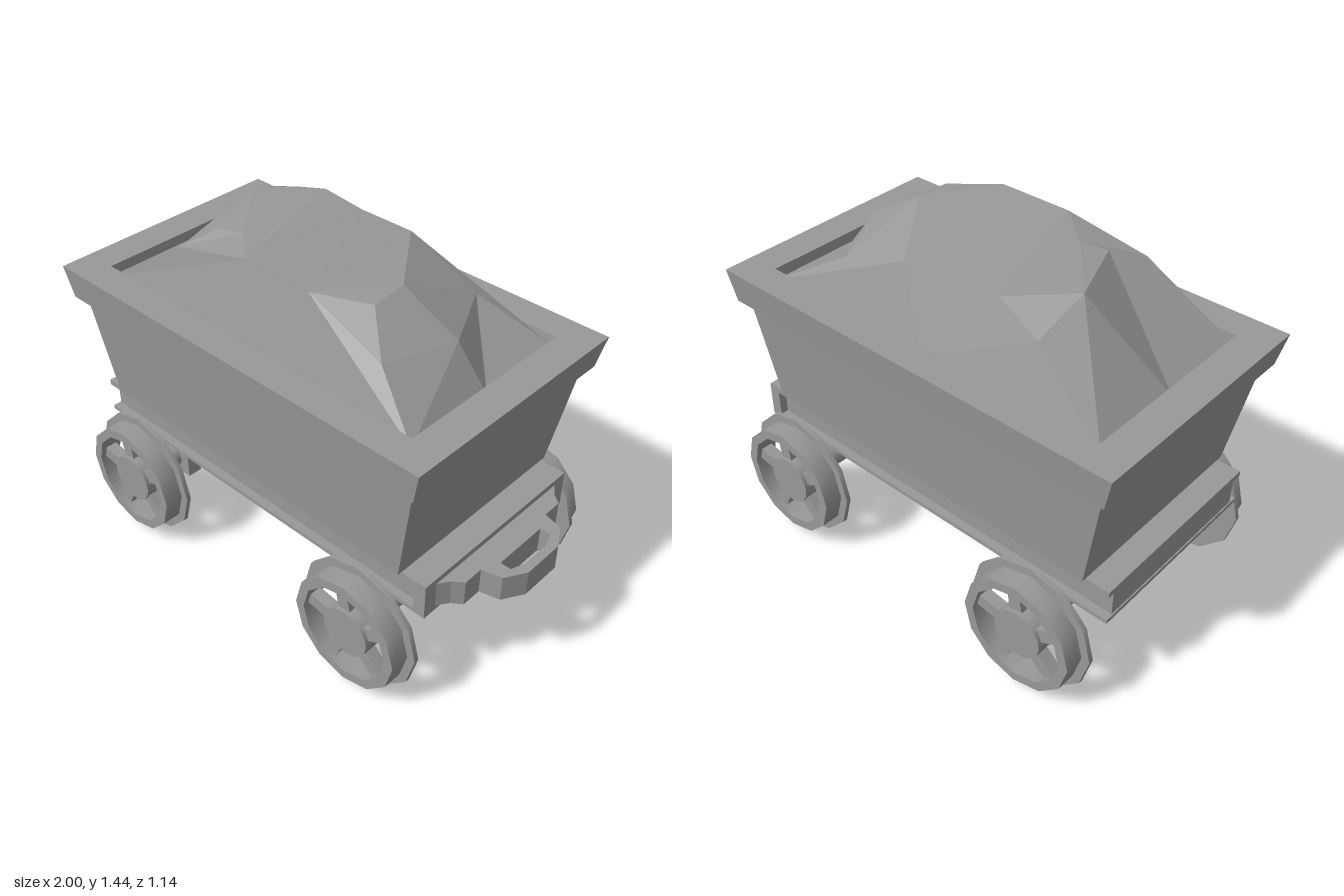
import * as THREE from 'three';
import { toCreasedNormals } from 'three/addons/utils/BufferGeometryUtils.js';

const grey = new THREE.MeshStandardMaterial({ color: 0x999999 });
grey.name = 'grey';

function add(parent, name, geometry, x = 0, y = 0, z = 0) {
  const mesh = new THREE.Mesh(geometry, grey);
  mesh.name = name;
  mesh.position.set(x, y, z);
  parent.add(mesh);
  return mesh;
}

// Box given by its lower and upper limits
function addBox(parent, name, x0, x1, y0, y1, z0, z1) {
  return add(parent, name, new THREE.BoxGeometry(x1 - x0, y1 - y0, z1 - z0),
    (x0 + x1) / 2, (y0 + y1) / 2, (z0 + z1) / 2);
}

// Faceted geometry from points and triangles
function faceted(points, triangles) {
  const geometry = new THREE.BufferGeometry();
  geometry.setAttribute('position', new THREE.Float32BufferAttribute(points.flat(), 3));
  geometry.setIndex(triangles.flat());
  const flat = geometry.toNonIndexed();
  flat.computeVertexNormals();
  return flat;
}

// Rectangular rings [y, halfX, halfZ] joined in order
function loftRectangles(rings) {
  const points = [], triangles = [];
  for (const [y, hx, hz] of rings) {
    points.push([-hx, y, hz], [hx, y, hz], [hx, y, -hz], [-hx, y, -hz]);
  }
  for (let i = 0; i < rings.length - 1; i++) {
    for (let k = 0; k < 4; k++) {
      const a = i * 4 + k, b = i * 4 + (k + 1) % 4;
      triangles.push([a, b, b + 4], [a, b + 4, a + 4]);
    }
  }
  return faceted(points, triangles);
}

// Heap of ore: base outline, shoulder points, then inner points
function heapGeometry() {
  const base = 1.12;
  const points = [
    [-0.865, base, -0.395], [-0.08, base, -0.395], [0.69, base, -0.395], [0.69, base, 0],
    [0.69, base, 0.395], [-0.865, base, 0.395], [-0.865, base, 0],
    [-0.54, 1.36, -0.32], [-0.345, 1.43, -0.285], [-0.15, 1.41, -0.285], [0.08, 1.4, -0.3],
    [0.41, 1.28, -0.28], [0.565, 1.29, 0.015], [0.485, 1.31, 0.315], [0.15, 1.44, 0.31],
    [-0.16, 1.44, 0.31], [-0.5, 1.37, 0.335], [-0.425, 1.42, 0.205], [-0.55, 1.44, -0.1],
    [-0.32, 1.43, 0.175], [0.345, 1.42, 0.195], [0.34, 1.43, 0.045],
  ];
  const triangles = [
    [0, 1, 7], [7, 1, 8], [8, 1, 9], [9, 1, 10], [1, 2, 10], [10, 2, 11], [2, 3, 11],
    [11, 3, 12], [3, 4, 12], [12, 4, 13], [13, 4, 14], [14, 4, 5], [14, 5, 15], [15, 5, 16],
    [16, 5, 17], [17, 5, 6], [17, 6, 18], [18, 6, 0], [18, 0, 7],
    [18, 7, 8], [18, 8, 19], [18, 19, 17], [17, 19, 16], [16, 19, 15], [19, 8, 15],
    [8, 9, 15], [9, 14, 15], [9, 10, 14], [10, 21, 14], [10, 11, 21], [11, 12, 21],
    [21, 12, 20], [12, 13, 20], [20, 13, 14], [21, 20, 14],
  ];
  // Turn every facet upward
  const upward = triangles.map(([a, b, c]) => {
    const [p, q, r] = [points[a], points[b], points[c]];
    const ny = (q[2] - p[2]) * (r[0] - p[0]) - (q[0] - p[0]) * (r[2] - p[2]);
    return ny < 0 ? [a, c, b] : [a, b, c];
  });
  return faceted(points, upward);
}

// Flanged wheel, outer side toward +z
function makeWheel() {
  const wheel = new THREE.Group();
  wheel.name = 'wheel';
  const profile = [[0.2, 0], [0.275, 0], [0.275, 0.02], [0.24, 0.02], [0.24, 0.1], [0.2, 0.1], [0.2, 0]]
    .map(([r, y]) => new THREE.Vector2(r, y));
  const rim = toCreasedNormals(new THREE.LatheGeometry(profile, 12), 0.6);
  add(wheel, 'wheelRim', rim.rotateX(Math.PI / 2));
  const hub = new THREE.CylinderGeometry(0.105, 0.105, 0.08, 16).rotateX(Math.PI / 2);
  add(wheel, 'hub', hub, 0, 0, 0.05);
  for (let i = 0; i < 5; i++) {
    const spoke = new THREE.BoxGeometry(0.12, 0.055, 0.05);
    spoke.translate(0.15, 0, 0).rotateZ(THREE.MathUtils.degToRad(100 + i * 72));
    add(wheel, 'spoke', spoke, 0, 0, 0.05);
  }
  return wheel;
}

// Coupling plate with a slot, drawn in plan
function couplingGeometry() {
  const mirrored = (half) => [...half, ...half.slice().reverse().map(([x, z]) => [x, -z])]
    .map(([x, z]) => new THREE.Vector2(x, z));
  const plan = new THREE.Shape(mirrored(
    [[0.79, -0.355], [0.8, -0.355], [0.83, -0.31], [0.87, -0.28], [0.87, -0.195], [0.95, -0.175], [1, -0.09]]));
  plan.holes.push(new THREE.Path(mirrored([[0.9, -0.12], [0.945, -0.12], [0.965, -0.06]])));
  return new THREE.ExtrudeGeometry(plan, { depth: 0.11, bevelEnabled: false }).rotateX(-Math.PI / 2);
}

export function createModel() {
  const cart = new THREE.Group();
  cart.name = 'oreCart';

  // Tapered tub with an overhanging rim
  add(cart, 'tub', loftRectangles([
    [0.575, 0, 0], [0.575, 0.775, 0.435], [1.03, 0.855, 0.475], [1.03, 0.885, 0.51],
    [1.165, 0.915, 0.525], [1.165, 0.777, 0.395], [1.1, 0.77, 0.39],
  ]), -0.085);
  add(cart, 'oreHeap', heapGeometry());

  // Chassis: recessed core between flanges, closed by an end plate
  const chassis = new THREE.Group();
  chassis.name = 'chassis';
  cart.add(chassis);
  addBox(chassis, 'chassisCore', -0.955, 0.75, 0.437, 0.55, -0.38, 0.38);
  addBox(chassis, 'topFlange', -0.96, 0.75, 0.55, 0.574, -0.415, 0.415);
  addBox(chassis, 'bottomFlange', -0.96, 0.75, 0.42, 0.437, -0.415, 0.415);
  addBox(chassis, 'endPlate', 0.75, 0.8, 0.42, 0.574, -0.415, 0.415);
  add(cart, 'coupling', couplingGeometry(), 0, 0.44, 0);

  // Axles with a wheel at each end
  for (const x of [-0.68, 0.555]) {
    const axle = new THREE.CylinderGeometry(0.055, 0.055, 0.96, 16).rotateX(Math.PI / 2);
    add(cart, 'axle', axle, x, 0.275, 0);
    for (const side of [1, -1]) {
      const wheel = makeWheel();
      wheel.position.set(x, 0.275, side * 0.47);
      if (side < 0) wheel.rotation.y = Math.PI;
      cart.add(wheel);
    }
  }

  // Bearing block on one axle
  addBox(cart, 'bearingBlock', -0.78, -0.58, 0.205, 0.41, 0.27, 0.335);
  return cart;
}
